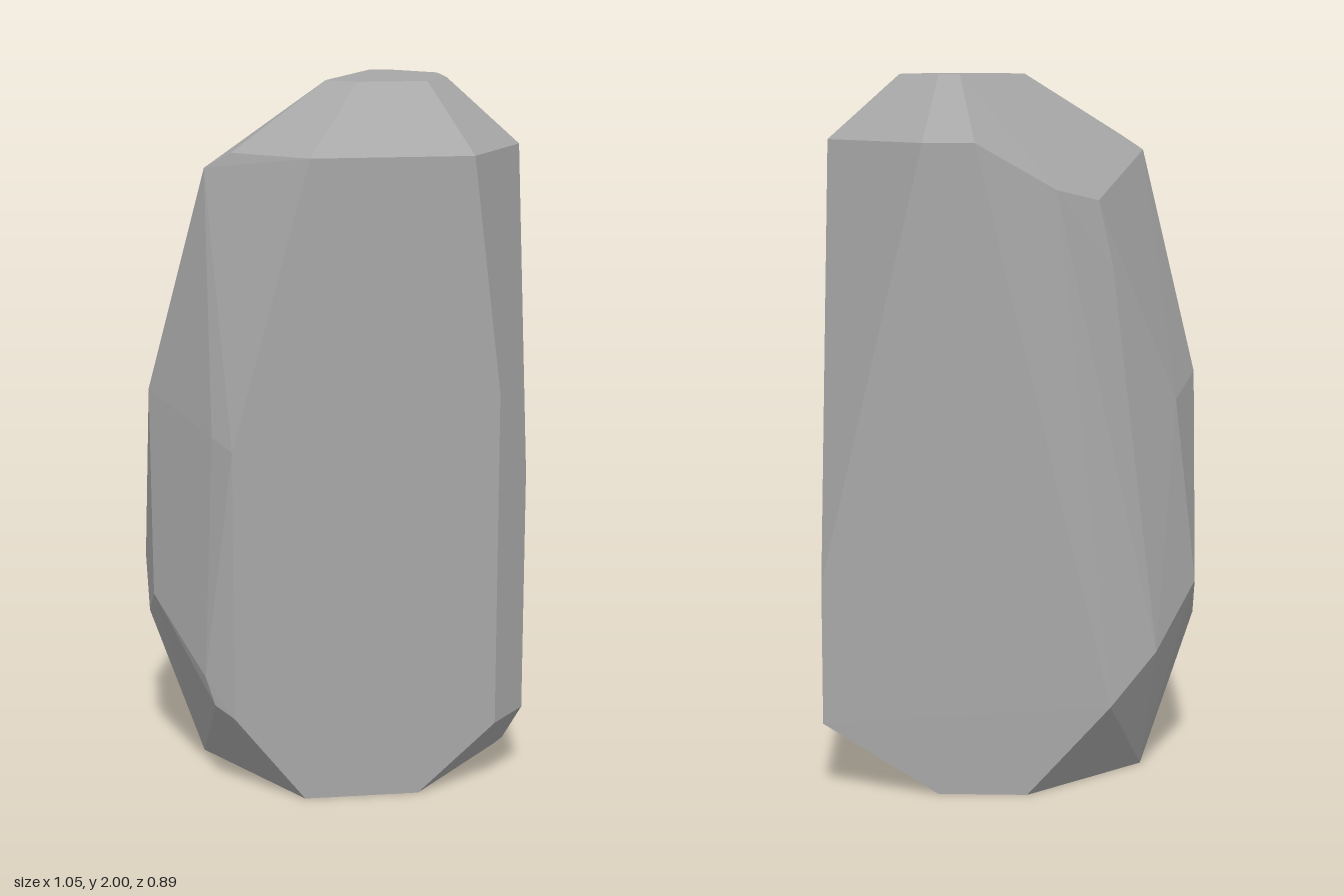
import * as THREE from 'three';
import { ConvexGeometry } from 'three/addons/geometries/ConvexGeometry.js';

// Corners of the boulder, grouped by level, as [x, y, z]
const crown = [
  [0.15, 2, -0.165], [0.21, 2, -0.165], [0.33, 2, -0.05], [0.33, 2, 0.1],
  [0.255, 2, 0.21], [0.06, 2, 0.21], [-0.02, 2, 0.145],
];
const shoulder = [
  [-0.104, 1.82, 0.447], [0.345, 1.82, 0.447], [0.523, 1.82, 0.183], [0.523, 1.82, -0.175],
  [0.235, 1.82, -0.447], [0.093, 1.82, -0.447], [-0.128, 1.69, -0.38], [-0.242, 1.656, -0.265],
  [-0.37, 1.775, 0.245], [-0.3, 1.82, 0.287],
];
const flanks = [
  [0.425, 1.16, 0.447], [0.523, 0.91, 0.353], [0.523, 0.6, -0.447], [-0.283, 1.47, -0.285],
  [-0.465, 1.08, -0.135], [-0.523, 1.13, 0.105], [-0.37, 1.05, 0.39], [-0.32, 1.02, 0.447],
];
const skirt = [
  [0.425, 0.2, 0.447], [0.523, 0.21, 0.353], [0.523, 0.02, 0.1], [0.523, 0.2, -0.447],
  [-0.283, 0.256, -0.447], [-0.41, 0.397, -0.37], [-0.523, 0.558, -0.17], [-0.523, 0.43, -0.02],
  [-0.523, 0.545, 0.185], [-0.395, 0.36, 0.398], [-0.37, 0.28, 0.413], [-0.32, 0.25, 0.447],
];
const foot = [
  [0.205, 0, 0.447], [0.497, 0, 0.1], [0.2, 0, -0.447], [-0.05, 0, -0.447],
  [-0.37, 0, -0.13], [-0.37, 0, 0.03], [-0.12, 0, 0.447],
];

export function createModel() {
  const group = new THREE.Group();
  group.name = 'rock';

  const stone = new THREE.MeshStandardMaterial({ color: 0xa6a6a6, flatShading: true });
  stone.name = 'stone grey';

  // One faceted, chiselled body wrapped around all the corners
  const corners = [crown, shoulder, flanks, skirt, foot].flat()
    .map(([x, y, z]) => new THREE.Vector3(x, y, z));
  const boulder = new THREE.Mesh(new ConvexGeometry(corners), stone);
  boulder.name = 'boulder';
  group.add(boulder);

  return group;
}
